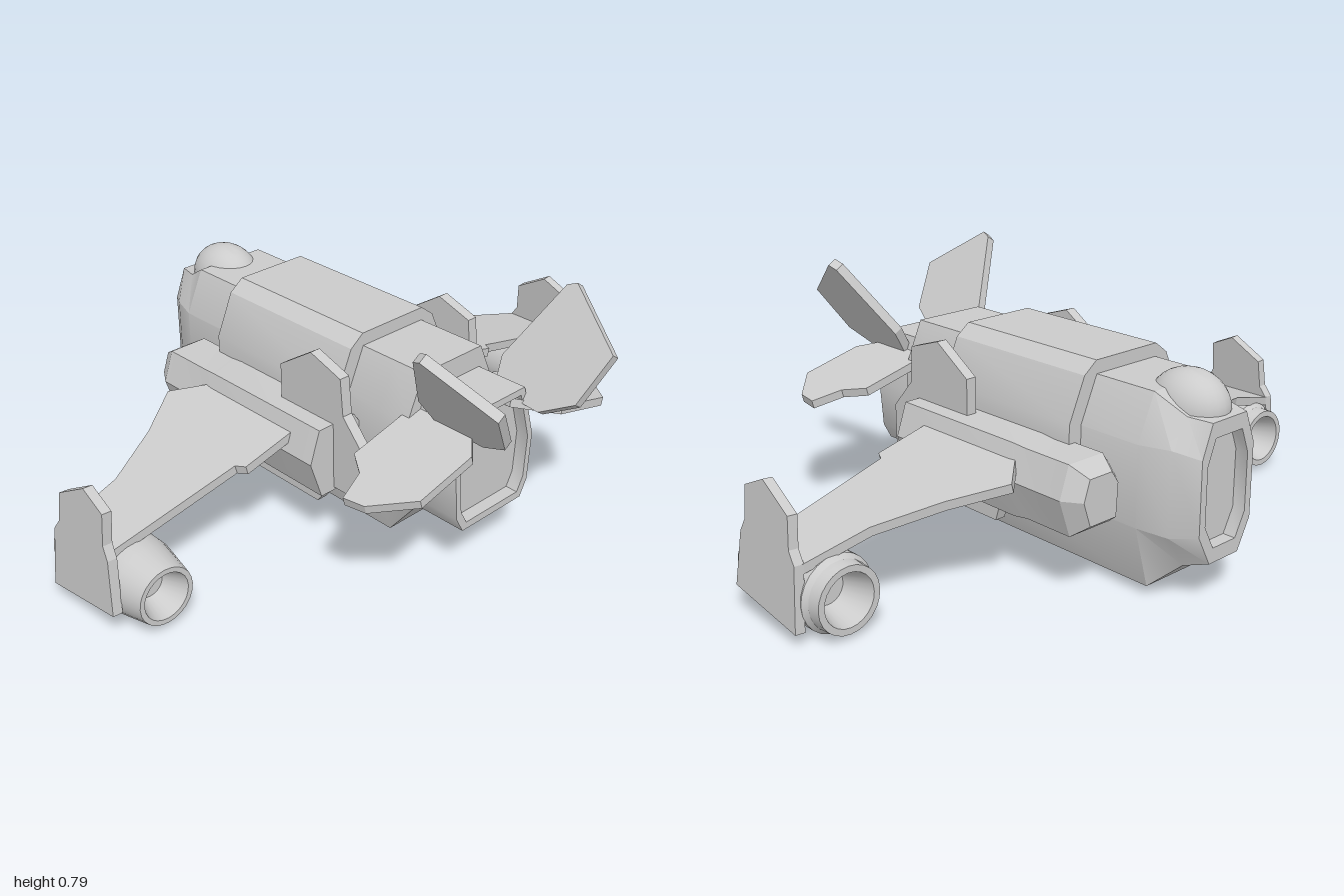
import * as THREE from 'three';
import { toCreasedNormals } from 'three/addons/utils/BufferGeometryUtils.js';

const grey = new THREE.MeshStandardMaterial({ color: 0xcccccc });

export function createModel() {
  const craft = new THREE.Group();
  craft.name = 'craft';

  function add(name, geometry, crease = 0.5) {
    const flat = geometry.index ? geometry.toNonIndexed() : geometry;
    const mesh = new THREE.Mesh(toCreasedNormals(flat, crease), grey);
    mesh.name = name;
    craft.add(mesh);
    return mesh;
  }

  // Closed skin through rings of [x, y] points (counterclockwise from +z), each at its z
  function loft(sections) {
    const n = sections[0].ring.length, pos = [], idx = [];
    for (const { ring, z } of sections) for (const [x, y] of ring) pos.push(x, y, z);
    for (let s = 0; s < sections.length - 1; s++) {
      for (let i = 0; i < n; i++) {
        const a = s * n + i, b = s * n + (i + 1) % n;
        idx.push(a, b, b + n, a, b + n, a + n);
      }
    }
    const last = (sections.length - 1) * n;
    for (let i = 1; i < n - 1; i++) {
      idx.push(0, i + 1, i, last, last + i, last + i + 1);
    }
    const g = new THREE.BufferGeometry();
    g.setAttribute('position', new THREE.Float32BufferAttribute(pos, 3));
    g.setIndex(idx);
    return g;
  }

  // Full ring from its +x half, listed bottom to top
  const mirrored = half => [...half, ...half.map(([x, y]) => [-x, y]).reverse()];
  const scaled = (ring, k, cx, cy) => ring.map(([x, y]) => [cx + (x - cx) * k, cy + (y - cy) * k]);

  // Flat panel: outline in (u, v), laid out along the axes U and V from an origin
  function plate(name, outline, thickness, origin, U, V) {
    const shape = new THREE.Shape(outline.map(p => new THREE.Vector2(...p)));
    const g = new THREE.ExtrudeGeometry(shape, { depth: thickness, bevelEnabled: false });
    g.translate(0, 0, -thickness / 2);
    const u = new THREE.Vector3(...U), v = new THREE.Vector3(...V);
    const m = new THREE.Matrix4().makeBasis(u, v, u.clone().cross(v).normalize());
    g.applyMatrix4(m.setPosition(...origin));
    add(name, g, 0.2);
  }

  // Fuselage, with a recessed panel in the nose
  const body = (wb, w, wt, y0, y1, y2, y3) =>
    mirrored([[wb, y0], [w, y1], [w, y2], [wt, y3]]);
  const nose = body(0.06, 0.107, 0.07, 0.13, 0.22, 0.44, 0.535);
  const noseInset = scaled(nose, 0.78, 0, 0.33);
  const main = body(0.128, 0.18, 0.12, 0.03, 0.22, 0.46, 0.595);
  add('fuselage', loft([
    { ring: noseInset, z: -0.72 },
    { ring: noseInset, z: -0.76 },
    { ring: nose, z: -0.76 },
    { ring: body(0.085, 0.15, 0.09, 0.11, 0.21, 0.46, 0.54), z: -0.69 },
    { ring: main, z: -0.6 },
    { ring: main, z: 0.27 },
    { ring: body(0.15, 0.18, 0.12, 0.16, 0.23, 0.46, 0.595), z: 0.38 },
  ]));

  // Rear exhaust housing, hollowed at the back
  const exhaust = mirrored([[0.125, 0.16], [0.152, 0.21], [0.163, 0.36], [0.115, 0.53]]);
  const exhaustInset = scaled(exhaust, 0.88, 0, 0.35);
  add('exhaustHousing', loft([
    { ring: exhaust, z: 0.34 },
    { ring: exhaust, z: 0.55 },
    { ring: exhaustInset, z: 0.55 },
    { ring: exhaustInset, z: 0.51 },
  ]));

  // Armour saddle over the back
  const saddle = mirrored([[0.225, 0.38], [0.225, 0.47], [0.168, 0.6], [0.122, 0.635]]);
  add('dorsalSaddle', loft([{ ring: saddle, z: -0.39 }, { ring: saddle, z: 0.145 }]));

  // Canopy
  const canopy = new THREE.SphereGeometry(1, 24, 16);
  canopy.scale(0.095, 0.1, 0.122).translate(0, 0.54, -0.622);
  add('canopy', canopy, 1);

  const podHalf = [[0.17, 0.2], [0.33, 0.2], [0.37, 0.32], [0.335, 0.42], [0.2, 0.42], [0.16, 0.36]];
  const engineProfile = [[0, -0.14], [0.05, -0.14], [0.078, -0.24], [0.097, -0.24], [0.1, -0.2],
    [0.112, -0.185], [0.112, 0.03], [0.105, 0.07], [0.087, 0.158], [0.072, 0.158], [0.042, 0.08], [0, 0.08]];

  for (const s of [1, -1]) {
    const side = s > 0 ? 'left' : 'right';

    // Side pod
    const pod = s > 0 ? podHalf : podHalf.map(([x, y]) => [-x, y]).reverse();
    add(side + 'SidePod', loft([
      { ring: scaled(pod, 0.62, s * 0.26, 0.32), z: -0.55 },
      { ring: scaled(pod, 0.95, s * 0.25, 0.32), z: -0.495 },
      { ring: scaled(pod, 0.95, s * 0.25, 0.32), z: -0.33 },
      { ring: pod, z: -0.28 },
      { ring: pod, z: 0.19 },
    ]), 0.2);

    // Upright blade passing through the pod
    plate(side + 'Blade', [[0.31, 0.21], [0.31, 0.37], [0.23, 0.46], [0.22, 0.575], [0.1, 0.615],
      [-0.03, 0.53], [-0.03, 0.4], [-0.18, 0.22], [-0.15, 0.13], [0.12, 0.13], [0.18, 0.21]],
      0.034, [s * 0.265, 0, 0], [0, 0, 1], [0, 1, 0]);

    // Drooping wing
    plate(side + 'Wing', [[0.3, -0.27], [0.35, -0.31], [0.43, -0.385], [0.58, -0.285], [0.76, -0.2],
      [0.975, -0.175], [0.975, 0.025], [0.53, 0.055], [0.515, 0.085], [0.3, 0.085]],
      0.028, [0, 0.45, 0], [s, -0.25, 0], [0, 0, 1]);

    // Wingtip fin
    plate(side + 'Winglet', [[0.055, 0.376], [-0.03, 0.415], [-0.145, 0.35], [-0.152, 0.26],
      [-0.177, 0.225], [-0.187, 0.04], [0.095, 0.08], [0.075, 0.242], [0.055, 0.28]],
      0.03, [s * 0.988, 0, 0], [0, 0, 1], [-0.08 * s, 1, 0]);

    // Wingtip engine, open at both ends
    const engine = new THREE.LatheGeometry(engineProfile.map(p => new THREE.Vector2(...p)), 24);
    engine.rotateX(Math.PI / 2).translate(s * 0.865, 0.113, 0);
    add(side + 'Engine', engine);

    // Tailplane
    plate(side + 'Tailplane', [[0.1, 0.353], [0.355, 0.353], [0.4, 0.42], [0.49, 0.45], [0.48, 0.52],
      [0.385, 0.628], [0.19, 0.628], [0.08, 0.53]],
      0.026, [0, 0.505, 0], [s, -0.25, 0], [0, 0, 1]);

    // Raked tail fin
    plate(side + 'TailFin', [[0.755, 0.656], [0.56, 0.782], [0.53, 0.77], [0.425, 0.56],
      [0.445, 0.48], [0.61, 0.47], [0.71, 0.52]],
      0.03, [-0.196 * s, 0, 0], [0, 0, 1], [0.66 * s, 1, 0]);
  }
  return craft;
}
